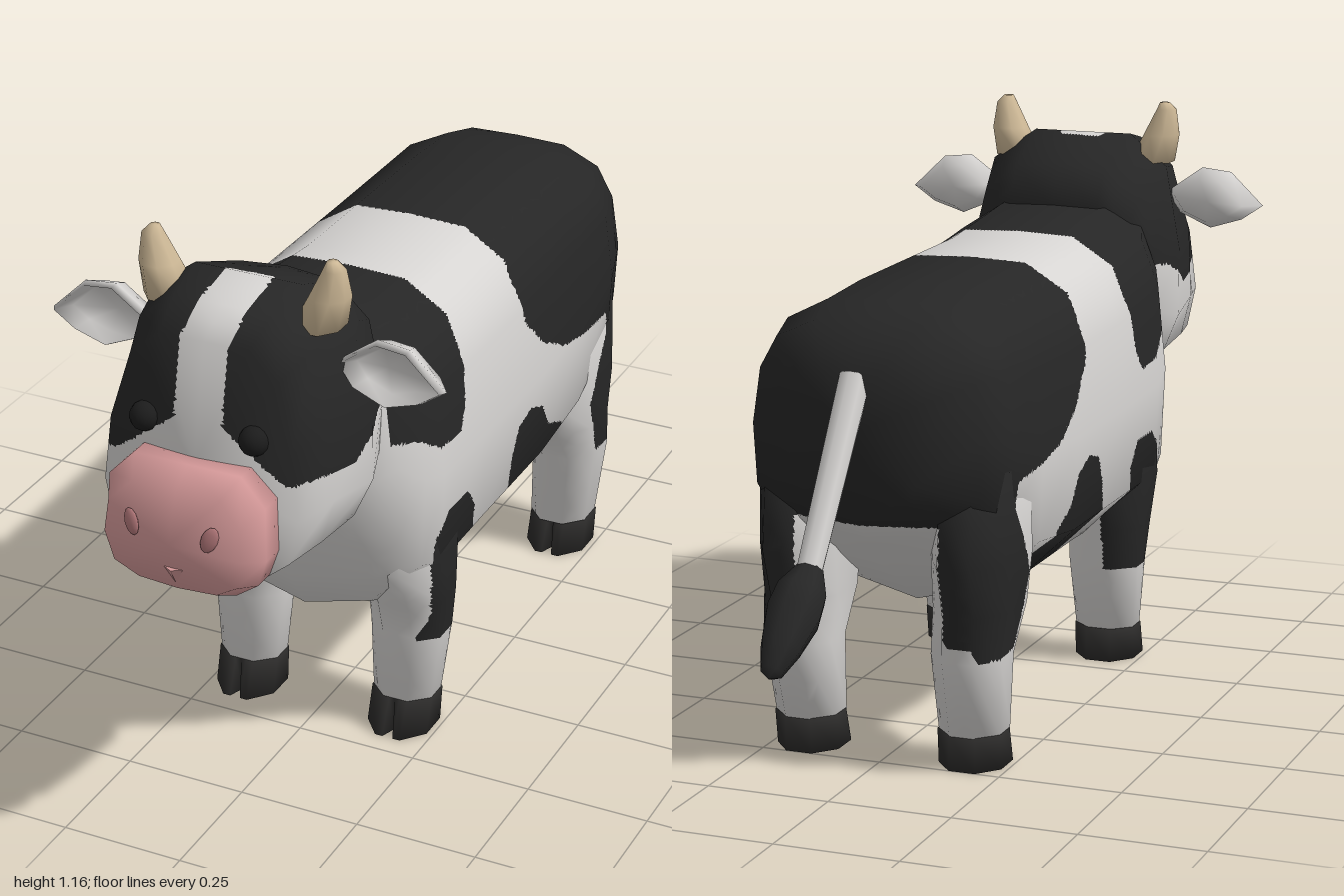
import * as THREE from 'three';

const mat = (name, color) => {
  const m = new THREE.MeshStandardMaterial({ color });
  m.name = name;
  return m;
};

// Closed skin through rings of equal point count, capped at both ends
function loft(rings, startCentre) {
  const n = rings[0].length, pos = rings.flat(2), index = [];
  const centre = r => [0, 1, 2].map(k => r.reduce((s, p) => s + p[k], 0) / n);
  const last = (rings.length - 1) * n, c0 = rings.length * n, c1 = c0 + 1;
  pos.push(...(startCentre || centre(rings[0])), ...centre(rings[rings.length - 1]));
  for (let j = 0; j < n; j++) {
    const k = (j + 1) % n;
    for (let i = 0; i < last; i += n) index.push(i + j, i + k, i + n + j, i + k, i + n + k, i + n + j);
    index.push(c0, k, j, c1, last + j, last + k);
  }
  const g = new THREE.BufferGeometry();
  g.setAttribute('position', new THREE.Float32BufferAttribute(pos, 3));
  g.setIndex(index);
  g.computeVertexNormals();
  return g;
}

// Full ring from its +x half, listed from top centre to bottom centre
const sym = half => [...half, ...half.slice(1, -1).reverse().map(([x, y, z]) => [-x, y, z])];

// Chamfered square ring lying flat; an optional notch splits its front edge
function boxRing([y, x0, x1, z0, z1], side, notch) {
  const ring = [];
  const add = (a, r) => ring.push([side * (x0 + x1) / 2 + Math.cos(a) * r * (x1 - x0) / 2, y,
    (z0 + z1) / 2 + Math.sin(a) * r * (z1 - z0) / 2]);
  for (let i = 0; i < 8; i++) {
    add((i + 0.5) * Math.PI / 4, 1 / Math.cos(Math.PI / 8));
    if (notch && i === 1) {
      add(1.4, 1.015);
      add(Math.PI / 2, notch);
      add(1.74, 1.015);
    }
  }
  return ring;
}

// Split triangles finely along colour borders and sort them into material groups
function paint(geo, rule) {
  const g = geo.toNonIndexed(), P = g.attributes.position, N = g.attributes.normal;
  const out = [{ p: [], n: [] }, { p: [], n: [] }];
  const mid = (a, b) => ({ p: a.p.clone().lerp(b.p, 0.5), n: a.n.clone().lerp(b.n, 0.5) });
  const split = (a, b, c) => {
    const ab = a.p.distanceTo(b.p), bc = b.p.distanceTo(c.p), ca = c.p.distanceTo(a.p);
    const longest = Math.max(ab, bc, ca), ra = rule(a.p);
    if (longest < 0.011 || (longest < 0.05 && ra === rule(b.p) && ra === rule(c.p))) {
      const o = out[rule(a.p.clone().add(b.p).add(c.p).divideScalar(3))];
      for (const v of [a, b, c]) {
        o.p.push(...v.p.toArray());
        o.n.push(...v.n.clone().normalize().toArray());
      }
      return;
    }
    // Turn the corners so that the longest edge runs from u to v
    const [u, v, w] = ab === longest ? [a, b, c] : bc === longest ? [b, c, a] : [c, a, b];
    const d = mid(u, v);
    split(u, d, w);
    split(d, v, w);
  };
  for (let i = 0; i < P.count; i += 3) {
    split(...[0, 1, 2].map(k => ({
      p: new THREE.Vector3().fromBufferAttribute(P, i + k), n: new THREE.Vector3().fromBufferAttribute(N, i + k) })));
  }
  const r = new THREE.BufferGeometry();
  r.setAttribute('position', new THREE.Float32BufferAttribute(out[0].p.concat(out[1].p), 3));
  r.setAttribute('normal', new THREE.Float32BufferAttribute(out[0].n.concat(out[1].n), 3));
  r.addGroup(0, out[0].p.length / 3, 0);
  r.addGroup(out[0].p.length / 3, out[1].p.length / 3, 1);
  return r;
}

// Coat patches as outlines in (z, y)
const shoulderPatch = [[.7, .83], [.54, .83], [.54, .72], [.47, .7], [.4, .655], [.31, .645], [.28, .69], [.265, .8], [.265, 1.1], [.7, 1.1]];
const rumpPatch = [[-.02, 1.1], [-.01, .82], [-.02, .73], [-.1, .65], [-.2, .6], [-.3, .58], [-.43, .57], [-.44, .52], [-.4, .46],
  [-.36, .38], [-.42, .24], [-.53, .23], [-.58, .4], [-.8, .4], [-.8, 1.1]];
const bellyPatch = [[.09, .2], [.08, .35], [.06, .46], [.03, .52], [-.03, .535], [-.09, .51], [-.13, .45], [-.2, .42], [-.28, .34], [-.32, .2]];
const legPatch = [[.43, .4], [.42, .46], [.37, .5], [.28, .5], [.24, .45], [.25, .35], [.28, .21], [.41, .21], [.4, .28]];
const headPatch = [[.95, .79], [.85, .79], [.7, .765], [.6, .82], [.4, .84], [.4, 1.2], [.95, 1.2]];

function inside(poly, p) {
  let hit = false;
  poly.forEach(([z, y], i) => {
    const [z2, y2] = poly[(i + 1) % poly.length];
    if ((y > p.y) !== (y2 > p.y) && p.z < (z2 - z) * (p.y - y) / (y2 - y) + z) hit = !hit;
  });
  return hit;
}
function coat(p) {
  const x = Math.abs(p.x);
  if (inside(shoulderPatch, p) || inside(bellyPatch, p)) return 1;
  if (inside(legPatch, p)) return x > 0.19 ? 1 : 0;
  return inside(rumpPatch, p) && !(x < 0.15 && p.y < 0.5) ? 1 : 0;
}
function face(p) {
  const x = Math.abs(p.x);
  if (!inside(headPatch, p) || (p.z > 0.655 && x < 0.05)) return 0;
  return p.z > 0.8 && p.y < 0.92 - 0.75 * x ? 0 : 1;
}

export function createModel() {
  const cow = new THREE.Group();
  cow.name = 'cow';
  const white = mat('white coat', 0xd6d4d2), black = mat('black coat', 0x262626), pink = mat('pink muzzle', 0xd69a9a);
  const horn = mat('horn', 0xcdb896), hoofMat = mat('hoof', 0x2c2b2a), eyeMat = mat('eye', 0x1c1c1c), nostrilMat = mat('nostril', 0xb07678);
  const add = (name, geo, m) => {
    const mesh = new THREE.Mesh(geo, m);
    mesh.name = name;
    cow.add(mesh);
    return mesh;
  };

  // Body: z, top, bottom, half width
  const sections = [[.62, .95, .55, .18], [.53, .965, .37, .235], [.47, .955, .28, .262], [.4, .945, .245, .27], [.2, .925, .25, .268],
    [-.1, .922, .25, .268], [-.3, .92, .28, .266], [-.45, .91, .38, .266], [-.55, .885, .46, .238], [-.625, .81, .53, .13]];
  const outline = [[0, 0], [.45, .007], [.78, .09], [.93, .24], [1, .5], [.97, .78], [.55, .94], [0, 1]];
  add('body', paint(loft(sections.map(([z, top, bottom, w]) =>
    sym(outline.map(([x, y]) => [x * w, top - y * (top - bottom), z])))), coat), [white, black]);

  // Head, from the face back into the neck
  const headRings = [
    [[0, 1.03, .845], [.09, 1.03, .845], [.15, .98, .85], [.185, .85, .87], [.2, .72, .875], [.18, .63, .88], [.11, .575, .89], [0, .565, .89]],
    [[0, 1.07, .77], [.1, 1.07, .77], [.175, 1.01, .77], [.215, .87, .77], [.222, .72, .77], [.197, .63, .78], [.12, .575, .8], [0, .56, .8]],
    [[0, 1.09, .67], [.11, 1.09, .67], [.2, 1.025, .65], [.235, .85, .64], [.235, .7, .64], [.2, .62, .65], [.12, .56, .64], [0, .55, .63]],
    [[0, 1.04, .52], [.1, 1.03, .52], [.175, .97, .53], [.212, .85, .55], [.21, .72, .56], [.17, .62, .58], [.1, .57, .6], [0, .555, .61]],
    [[0, .95, .47], [.1, .94, .47], [.16, .87, .48], [.18, .8, .5], [.18, .7, .52], [.14, .63, .54], [.08, .6, .56], [0, .59, .57]]];
  add('head', paint(loft(headRings.map(sym), [0, .8, .895]), face), [white, black]);

  // Muzzle
  const muzzleRings = [
    [[0, .785, .965], [.09, .785, .965], [.135, .74, .975], [.14, .68, .985], [.125, .62, .98], [.08, .59, .97], [0, .585, .97]],
    [[0, .817, .92], [.11, .817, .92], [.16, .765, .925], [.163, .66, .93], [.145, .605, .93], [.1, .573, .93], [0, .568, .93]],
    [[0, .817, .87], [.11, .817, .87], [.16, .765, .86], [.163, .66, .86], [.145, .605, .87], [.1, .573, .88], [0, .568, .88]]];
  add('muzzle', loft(muzzleRings.map(sym), [0, .69, 1]), pink);
  const lip = new THREE.ConeGeometry(.05, .035, 3).rotateX(Math.PI).rotateY(Math.PI).scale(1.2, 1, .4);
  add('lip', lip, pink).position.set(0, .617, .975);

  const frontLeg = [[.55, .1, .26, .26, .48], [.4, .1, .263, .25, .49], [.3, .1, .258, .265, .44], [.22, .1, .252, .28, .415], [.07, .11, .237, .305, .42]];
  const hindLeg = [[.6, .1, .26, -.55, -.28], [.42, .1, .262, -.565, -.26], [.32, .1, .258, -.535, -.3], [.23, .105, .25, -.54, -.37], [.07, .11, .237, -.5, -.365]];
  const hornRings = [[1.16, .172, .192, .68, .7], [1.145, .166, .206, .67, .71], [1.09, .14, .212, .65, .725], [1.03, .11, .2, .635, .74]];
  const earRim = [[.19, .965], [.27, 1.022], [.335, 1.015], [.408, .945], [.36, .912], [.29, .89], [.22, .92]];
  for (const side of [1, -1]) {
    const label = side > 0 ? 'left' : 'right';

    // Legs with cloven hooves
    for (const [name, rings, z] of [['FrontLeg', frontLeg, .3], ['HindLeg', hindLeg, -.5]]) {
      add(label + name, paint(loft(rings.map(r => boxRing(r, side))), coat), [white, black]);
      const top = [.072, .108, .239, z, z + .125], sole = [0, .107, .238, z, z + .155];
      add(label + name + 'Hoof', loft([boxRing(top, side, .95), boxRing(sole, side, .6)]), hoofMat);
    }

    add(label + 'Horn', loft(hornRings.map(r => boxRing(r, side))), horn);

    // Cupped ear, its rim turned forward
    const earRing = (k, z) => {
      const ring = earRim.map(([x, y]) => [side * (.295 + (x - .295) * k), .955 + (y - .955) * k, z]);
      return side > 0 ? ring : ring.reverse();
    };
    add(label + 'Ear', loft([earRing(.7, .675), earRing(.92, .705), earRing(1, .69), earRing(.7, .645)], [side * .28, .955, .663]), white);

    const eye = add(label + 'Eye', new THREE.SphereGeometry(.029, 12, 8), eyeMat);
    eye.position.set(side * .112, .868, .872);

    const nostril = add(label + 'Nostril', new THREE.SphereGeometry(.02, 10, 6).scale(.8, 1.3, .35), nostrilMat);
    nostril.position.set(side * .08, .715, .989);
    nostril.rotation.set(-.15, side * .2, side * -.35);
  }

  // Tail and tuft, each laid from one point toward another
  const aim = (mesh, from, to) => {
    mesh.position.set(0, ...from);
    mesh.quaternion.setFromUnitVectors(new THREE.Vector3(0, 1, 0),
      new THREE.Vector3(0, to[0] - from[0], to[1] - from[1]).normalize());
  };
  aim(add('tail', new THREE.CylinderGeometry(.025, .032, .43, 8).translate(0, .215, 0), white), [.79, -.605], [.44, -.845]);
  const tuft = [[0, 0], [.026, .005], [.05, .06], [.054, .11], [.04, .18], [.022, .235], [0, .25]].map(p => new THREE.Vector2(...p));
  aim(add('tailTuft', new THREE.LatheGeometry(tuft, 8), black), [.475, -.815], [.325, -.995]);

  return cow;
}
